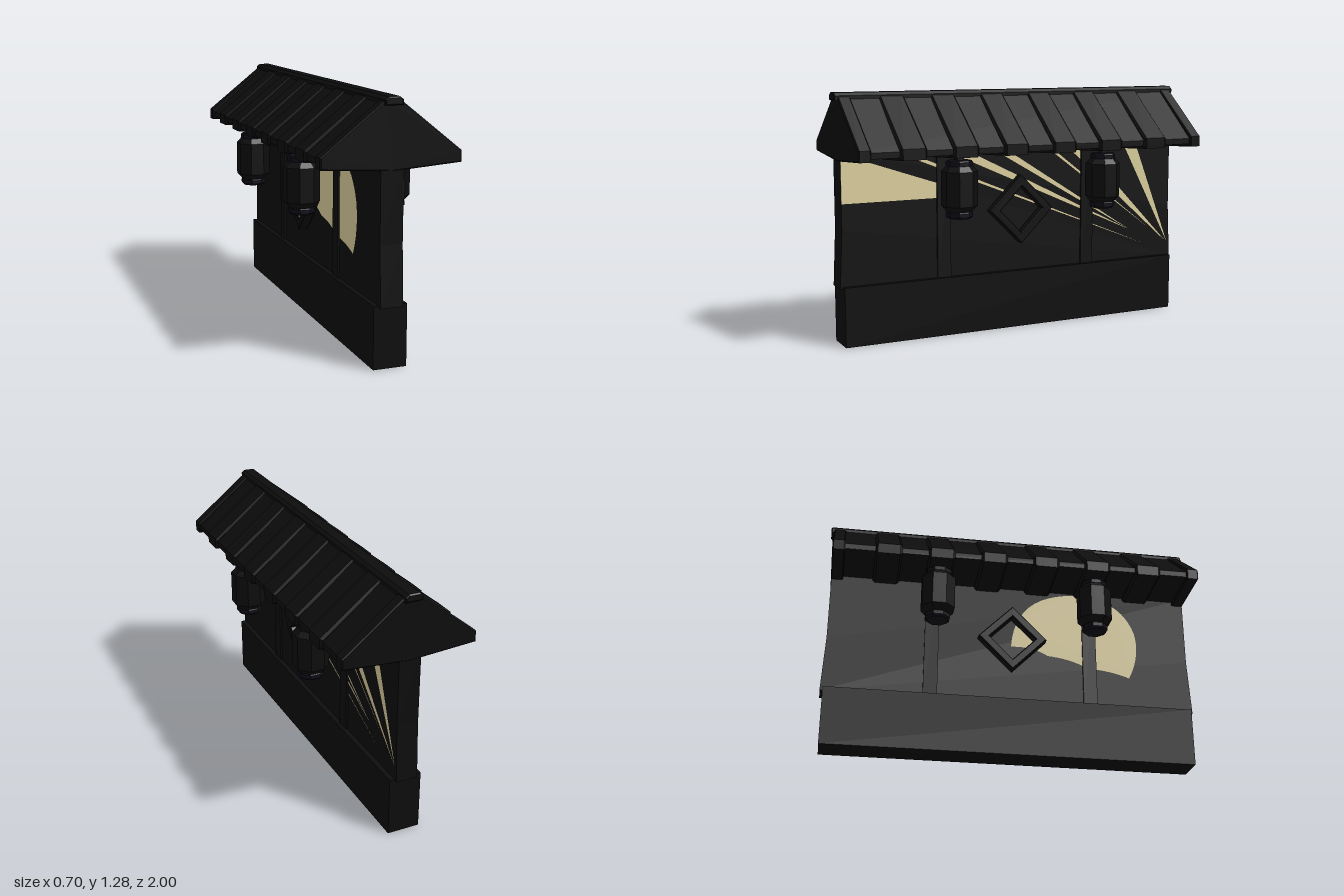
import * as THREE from 'three';

const DARK = new THREE.MeshStandardMaterial({ color: 0x0d0d0d, flatShading: true });
const METAL = new THREE.MeshStandardMaterial({ color: 0x100e18, flatShading: true });
const CREAM = new THREE.MeshStandardMaterial({ color: 0xddd09f, side: THREE.DoubleSide });

function add(parent, name, geometry, material, x = 0, y = 0, z = 0) {
  const mesh = new THREE.Mesh(geometry, material);
  mesh.name = name;
  mesh.position.set(x, y, z);
  parent.add(mesh);
  return mesh;
}

const shapeOf = (pts) => new THREE.Shape(pts.map(([x, y]) => new THREE.Vector2(x, y)));

// Extrusion along z, centred on z = 0, with optional chamfer
function slab(shape, depth, bevel = 0) {
  const g = new THREE.ExtrudeGeometry(shape, {
    depth: depth - 2 * bevel, bevelEnabled: bevel > 0, bevelSize: bevel,
    bevelThickness: bevel, bevelOffset: -bevel, bevelSegments: 1,
  });
  return g.translate(0, 0, -depth / 2 + bevel);
}

// Gable cross-section
const gable = (half, apex, eaveTop, eaveBottom, under) => shapeOf([
  [0, under], [half, eaveBottom], [half, eaveTop],
  [0.03, apex], [-0.03, apex], [-half, eaveTop], [-half, eaveBottom],
]);

function lantern() {
  const g = new THREE.Group();
  g.name = 'lantern';
  const turned = (pts) => new THREE.LatheGeometry(pts.map(([r, y]) => new THREE.Vector2(r, y)), 8, Math.PI / 8);
  add(g, 'lanternBody', turned([[0, 0.685], [0.065, 0.685], [0.093, 0.715], [0.093, 0.89], [0.065, 0.92], [0, 0.92]]), DARK);
  const cap = [[0, 0], [0.058, 0], [0.068, 0.01], [0.068, 0.03], [0.062, 0.037], [0, 0.037]];
  add(g, 'lanternLowerCap', turned(cap), METAL, 0, 0.65, 0);
  add(g, 'lanternUpperCap', turned(cap), METAL, 0, 0.908, 0);
  add(g, 'lanternHanger', new THREE.BoxGeometry(0.036, 0.07, 0.036), METAL, 0, 0.97, 0);
  return g;
}

// Square frame standing on its corner
function diamondFrame() {
  const ring = (r) => [[r, 0], [0, r], [-r, 0], [0, -r]];
  const shape = shapeOf(ring(0.185));
  shape.holes.push(new THREE.Path(ring(0.125).reverse().map(([x, y]) => new THREE.Vector2(x, y))));
  return slab(shape, 0.055, 0.005);
}

export function createModel() {
  const model = new THREE.Group();
  model.name = 'roofedWall';

  // Plinth and wall core
  add(model, 'plinth', new THREE.BoxGeometry(0.17, 0.31, 1.96), DARK, 0, 0.155, 0);
  const core = shapeOf([[-0.995, 0.3], [0.995, 0.3], [0.98, 0.6], [0.98, 0.99], [-0.98, 0.99], [-0.98, 0.6]]);
  add(model, 'wall', slab(core, 0.114), DARK).rotation.y = Math.PI / 2;

  // Posts on both faces
  for (const z of [-0.43, 0.43]) {
    add(model, 'post', new THREE.BoxGeometry(0.134, 0.68, 0.075), DARK, 0, 0.64, z);
  }

  // Roof body, raised tile bands and ridge
  add(model, 'roof', slab(gable(0.338, 1.265, 1.01, 0.98, 0.965), 1.96), DARK);
  const band = gable(0.35, 1.275, 1.022, 0.966, 0.942);
  for (let i = 0; i < 6; i++) {
    add(model, 'tileBand', slab(band, 0.14, 0.012), DARK, 0, 0, 0.7 - i * 0.278);
  }
  for (const s of [-1, 1]) add(model, 'endTileBand', slab(band, 0.065, 0.006), DARK, 0, 0, s * 0.95);
  const ridge = shapeOf([[-0.045, 1.245], [0.045, 1.245], [0.045, 1.27], [0.028, 1.285], [-0.028, 1.285], [-0.045, 1.27]]);
  add(model, 'ridge', slab(ridge, 2, 0.006), DARK);

  // Sunburst inlay on the +x face: a broad panel and tapering rays
  const burst = new THREE.Group();
  burst.name = 'sunburst';
  burst.rotation.y = Math.PI / 2;
  burst.position.x = 0.0585;
  model.add(burst);
  const rays = [
    [[-0.98, 0.97], [-0.94, 0.97], [-0.23, 0.732], [-0.98, 0.732]],
    [[-0.65, 0.965], [-0.6, 0.965], [0.81, 0.39]],
    [[-0.39, 0.965], [-0.28, 0.965], [0.72, 0.475]],
    [[-0.13, 0.965], [-0.06, 0.965], [0.72, 0.475]],
    [[0.185, 0.965], [0.21, 0.965], [0.85, 0.475]],
    [[0.31, 0.965], [0.41, 0.965], [0.97, 0.385]],
    [[0.67, 0.965], [0.75, 0.965], [0.975, 0.385]],
  ];
  for (const ray of rays) add(burst, 'ray', new THREE.ShapeGeometry(shapeOf(ray)), CREAM);

  // Rising disc inlay on the -x face, cut below by a wavy skyline
  const disc = new THREE.Shape();
  disc.moveTo(0.0, 0.62);
  disc.quadraticCurveTo(0.12, 0.63, 0.2, 0.58);
  disc.quadraticCurveTo(0.34, 0.57, 0.42, 0.52);
  disc.quadraticCurveTo(0.54, 0.52, 0.65, 0.48);
  disc.quadraticCurveTo(0.72, 0.62, 0.69, 0.75);
  disc.quadraticCurveTo(0.62, 0.96, 0.36, 0.96);
  disc.quadraticCurveTo(0.02, 0.94, 0.0, 0.62);
  add(model, 'risingDisc', new THREE.ShapeGeometry(disc), CREAM, -0.0585).rotation.y = -Math.PI / 2;

  // Diamond frames and hanging lanterns on both sides
  for (const s of [-1, 1]) {
    const frame = add(model, 'diamondFrame', diamondFrame(), DARK, s * 0.091, 0.648, 0);
    frame.rotation.y = s * Math.PI / 2;
    for (const z of [-0.42, 0.42]) {
      const l = lantern();
      l.position.set(s * 0.245, 0, z);
      model.add(l);
    }
  }
  return model;
}
